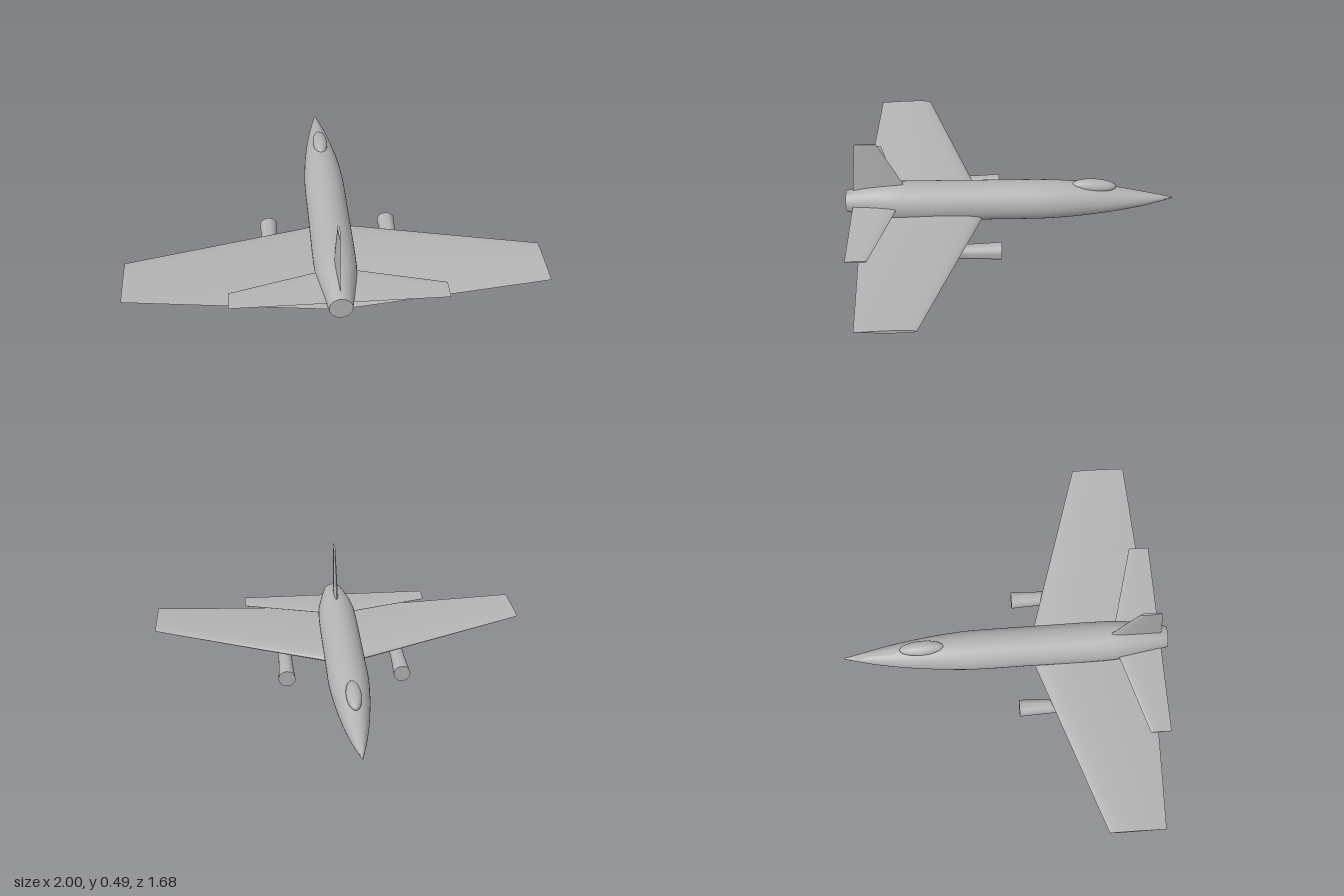
import * as THREE from 'three';
import { toCreasedNormals, mergeVertices } from 'three/addons/utils/BufferGeometryUtils.js';

// Skin a series of rings (counter-clockwise seen from the far end) and cap both ends
function loft(rings, crease = 0.9) {
  const n = rings[0].length, pos = rings.flat(2), index = [];
  for (let s = 0; s < rings.length - 1; s++) {
    for (let i = 0; i < n; i++) {
      const j = (i + 1) % n, a = s * n + i, b = s * n + j;
      index.push(a, b, a + n, b, b + n, a + n);
    }
  }
  const last = (rings.length - 1) * n;
  for (let i = 1; i < n - 1; i++) {
    index.push(0, i + 1, i);
    index.push(last, last + i, last + i + 1);
  }
  const g = new THREE.BufferGeometry();
  g.setAttribute('position', new THREE.Float32BufferAttribute(pos, 3));
  g.setIndex(index);
  return toCreasedNormals(mergeVertices(g, 1e-5), crease);
}

// Symmetric aerofoil outline: [distance along chord, offset from chord line]
function aerofoil(chord, thick, n = 32) {
  return Array.from({ length: n }, (_, i) => {
    const a = (i / n) * Math.PI * 2;
    const u = (1 - Math.cos(a)) / 2;
    const h = 5 * thick * (0.2969 * Math.sqrt(u) - 0.126 * u - 0.3516 * u * u
      + 0.2843 * u ** 3 - 0.1036 * u ** 4);
    return [u * chord, i === 0 || i === n / 2 ? 0 : (a < Math.PI ? h : -h)];
  });
}

// Wing-like surface across x; each station is [x, y, leading z, trailing z, thickness]
const wingGeometry = (stations) => loft(stations.map(([x, y, z0, z1, t]) =>
  aerofoil(z1 - z0, t).map(([c, h]) => [x, y + h, z0 + c])));

// Mirror right-hand stations to make a full span
const fullSpan = (half) => [
  ...half.slice().reverse().map(([x, ...rest]) => [-x, ...rest]), ...half];

export function createModel() {
  const group = new THREE.Group();
  const grey = new THREE.MeshStandardMaterial({ color: 0xb3b3b3 });
  grey.name = 'airframe grey';
  const add = (name, geometry) => {
    const mesh = new THREE.Mesh(geometry, grey);
    mesh.name = name;
    group.add(mesh);
    return mesh;
  };

  // Fuselage: smooth curve through [z, half width, bottom y, top y]
  const hull = [
    [-0.84, 0.003, 0.134, 0.14], [-0.7, 0.036, 0.098, 0.169], [-0.55, 0.064, 0.073, 0.199],
    [-0.4, 0.084, 0.055, 0.226], [-0.3, 0.094, 0.047, 0.237], [-0.18, 0.102, 0.042, 0.243],
    [0.1, 0.103, 0.042, 0.246], [0.5, 0.103, 0.042, 0.249], [0.6, 0.098, 0.049, 0.249],
    [0.72, 0.078, 0.072, 0.235], [0.84, 0.055, 0.097, 0.206]];
  const curve = (k) => new THREE.CatmullRomCurve3(
    hull.map((p) => new THREE.Vector3(p[0], p[k], 0)), false, 'centripetal');
  const [width, bottom, top] = [curve(1), curve(2), curve(3)];
  const rings = [];
  for (let s = 0; s <= 40; s++) {
    const w = width.getPoint(s / 40), lo = bottom.getPoint(s / 40).y, hi = top.getPoint(s / 40).y;
    rings.push(Array.from({ length: 40 }, (_, i) => {
      const a = (i / 40) * Math.PI * 2;
      return [Math.cos(a) * w.y, (lo + hi) / 2 + Math.sin(a) * (hi - lo) / 2, w.x];
    }));
  }
  add('fuselage', loft(rings));

  // Canopy bubble
  const canopy = add('canopy', new THREE.SphereGeometry(1, 32, 20));
  canopy.scale.set(0.038, 0.032, 0.114);
  canopy.position.set(0, 0.222, -0.433);
  canopy.rotation.x = -0.08;

  // Swept main wing with dihedral
  add('mainWing', wingGeometry(fullSpan([
    [0.04, 0.086, 0.131, 0.768, 0.058],
    [0.1, 0.09, 0.15, 0.765, 0.055],
    [0.5, 0.117, 0.279, 0.745, 0.037],
    [1, 0.152, 0.44, 0.72, 0.016]])));

  // Tailplane
  add('tailplane', wingGeometry(fullSpan([
    [0.03, 0.155, 0.563, 0.805, 0.018],
    [0.51, 0.155, 0.7, 0.805, 0.01]])));

  // Upright fin; each station is [y, leading z, trailing z, thickness]
  add('fin', loft([[0.18, 0.51, 0.808, 0.024], [0.492, 0.667, 0.777, 0.011]].map(
    ([y, z0, z1, t]) => aerofoil(z1 - z0, t).map(([c, h]) => [-h, y, z0 + c]))));

  // Engine pods under the wings
  const pod = [[0, 0.05], [0.044, 0.05], [0.04, 0.13], [0.037, 0.22], [0.035, 0.45],
    [0.033, 0.62], [0.027, 0.642], [0, 0.642]].map(([r, z]) => new THREE.Vector2(r, z));
  for (const side of [1, -1]) {
    const g = toCreasedNormals(new THREE.LatheGeometry(pod, 32), 0.9);
    g.rotateX(Math.PI / 2);
    add(side > 0 ? 'leftEngine' : 'rightEngine', g).position.set(side * 0.303, 0.044, 0);
  }
  return group;
}
